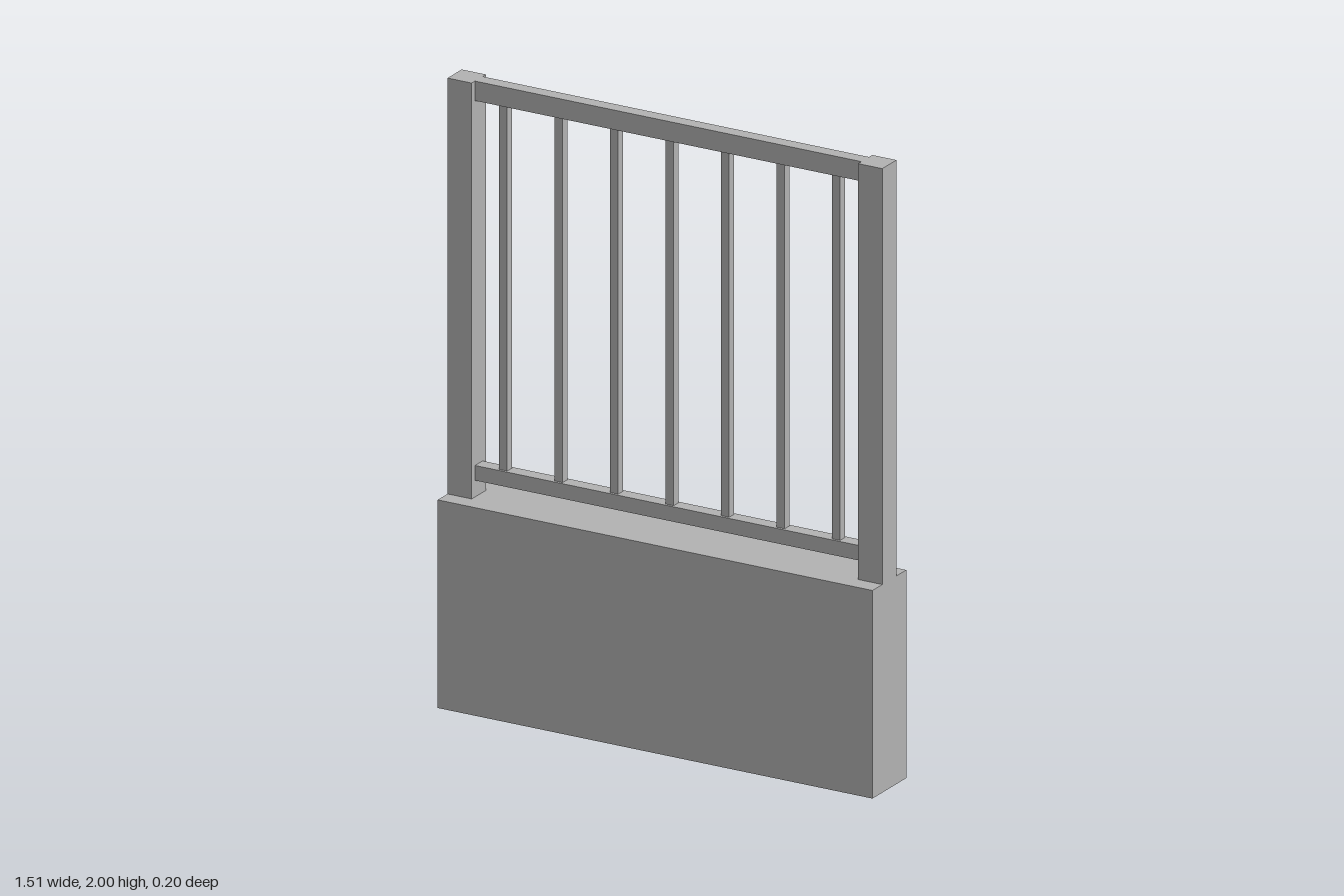
import * as THREE from 'three';

export function createModel() {
  const model = new THREE.Group();
  const grey = new THREE.MeshStandardMaterial({ color: 0xb2b2b2 });
  grey.name = 'grey';

  // Box from its width, depth, bottom and top heights, and x position
  function block(name, width, depth, bottom, top, x = 0) {
    const mesh = new THREE.Mesh(new THREE.BoxGeometry(width, top - bottom, depth), grey);
    mesh.name = name;
    mesh.position.set(x, (bottom + top) / 2, 0);
    model.add(mesh);
  }

  // Solid low wall
  block('baseWall', 1.51, 0.2, 0, 0.667);

  // End posts standing on the wall
  block('leftPost', 0.084, 0.084, 0.667, 2, 0.713);
  block('rightPost', 0.084, 0.084, 0.667, 2, -0.713);

  // Horizontal rails between the posts
  block('topRail', 1.342, 0.045, 1.937, 2);
  block('bottomRail', 1.342, 0.045, 0.72, 0.768);

  // Evenly spaced upright bars
  for (let i = -3; i <= 3; i++) {
    block(`bar${i + 4}`, 0.028, 0.028, 0.768, 1.937, i * 0.1927);
  }

  return model;
}
